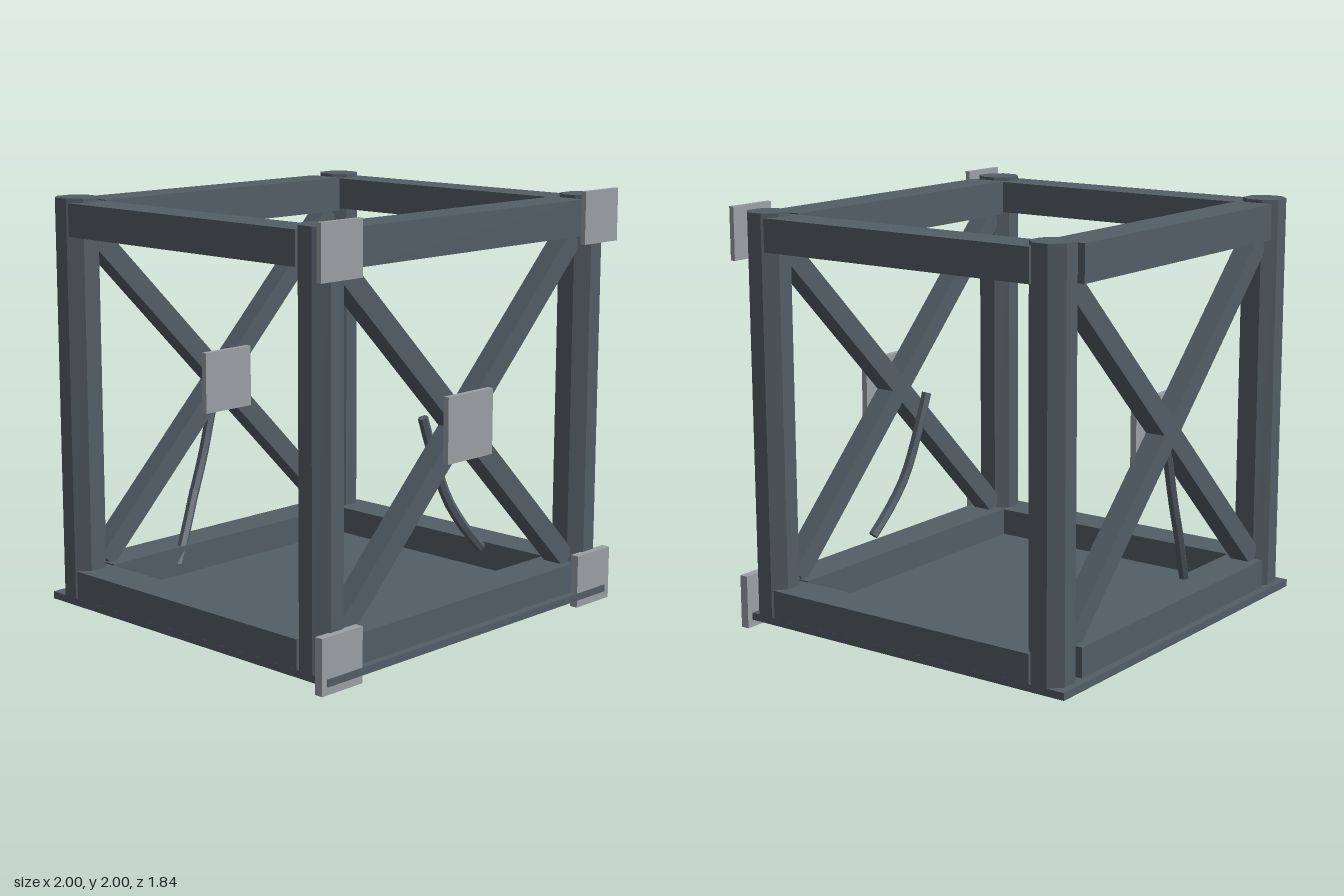
import * as THREE from 'three';

const steel = new THREE.MeshStandardMaterial({ color: 0x535e66, flatShading: true });
steel.name = 'dark steel';
const plate = new THREE.MeshStandardMaterial({ color: 0x9ba1a6, flatShading: true });
plate.name = 'light plate';

export function createModel() {
  const model = new THREE.Group();
  model.name = 'frameCube';

  const add = (name, geometry, material, x = 0, y = 0, z = 0) => {
    const mesh = new THREE.Mesh(geometry, material);
    mesh.name = name;
    mesh.position.set(x, y, z);
    model.add(mesh);
    return mesh;
  };
  const box = (name, size, pos, material = steel) =>
    add(name, new THREE.BoxGeometry(...size), material, ...pos);

  // Floor plate
  box('floor', [1.94, 0.035, 1.84], [0, 0.0525, 0]);

  // Octagonal corner posts
  const post = new THREE.CylinderGeometry(0.103, 0.103, 1.93, 8).rotateY(Math.PI / 8);
  for (const x of [-0.875, 0.875])
    for (const z of [-0.79, 0.79]) add('cornerPost', post, steel, x, 1.01, z);

  // Horizontal beams, bottom and top
  for (const s of [-1, 1]) {
    box('lowerCrossBeam', [1.56, 0.155, 0.19], [0, 0.1325, s * 0.787]);
    box('upperCrossBeam', [1.56, 0.17, 0.19], [0, 1.875, s * 0.787]);
    box('lowerSideBeam', [0.187, 0.15, 1.47], [s * 0.876, 0.13, 0]);
    box('upperSideBeam', [0.187, 0.155, 1.47], [s * 0.876, 1.878, 0]);
  }

  // Diagonal braces with a centre plate, front and back
  for (const z of [-0.79, 0.79]) {
    for (const s of [-1, 1])
      box('diagonalBrace', [2.2, 0.1, 0.1], [0, 1.0, z]).rotation.z = s * Math.PI / 4;
    box('centrePlate', [0.305, 0.305, 0.03], [0, 1.003, z + 0.065], plate);
  }

  // Corner plates on the front
  for (const x of [-0.876, 0.876]) {
    box('upperCornerPlate', [0.248, 0.248, 0.025], [x, 1.876, 0.9], plate);
    box('lowerCornerPlate', [0.248, 0.255, 0.042], [x, 0.1275, 0.897], plate);
  }

  // Loose hanging cables, closed at both ends
  const cable = (name, points) => {
    const pts = points.map(p => new THREE.Vector3(...p));
    const curve = new THREE.CatmullRomCurve3(pts);
    add(name, new THREE.TubeGeometry(curve, 10, 0.025, 6), steel);
    for (const [t, dir] of [[0, -1], [1, 1]]) {
      const p = curve.getPointAt(t);
      const cap = add(name + 'End', new THREE.CircleGeometry(0.025, 6), steel, p.x, p.y, p.z);
      cap.lookAt(p.clone().addScaledVector(curve.getTangentAt(t), dir));
    }
  };
  cable('frontCable', [[0, 1, 0.585], [0.05, 0.85, 0.592], [0.14, 0.6, 0.615],
    [0.235, 0.45, 0.64], [0.335, 0.335, 0.66]]);
  cable('backCableUpper', [[0, 1, -0.79], [-0.05, 0.85, -0.785], [-0.12, 0.63, -0.775], [-0.2, 0.44, -0.76]]);
  cable('backCableLower', [[-0.195, 0.46, -0.76], [-0.27, 0.3, -0.735], [-0.36, 0.12, -0.705]]);

  return model;
}
